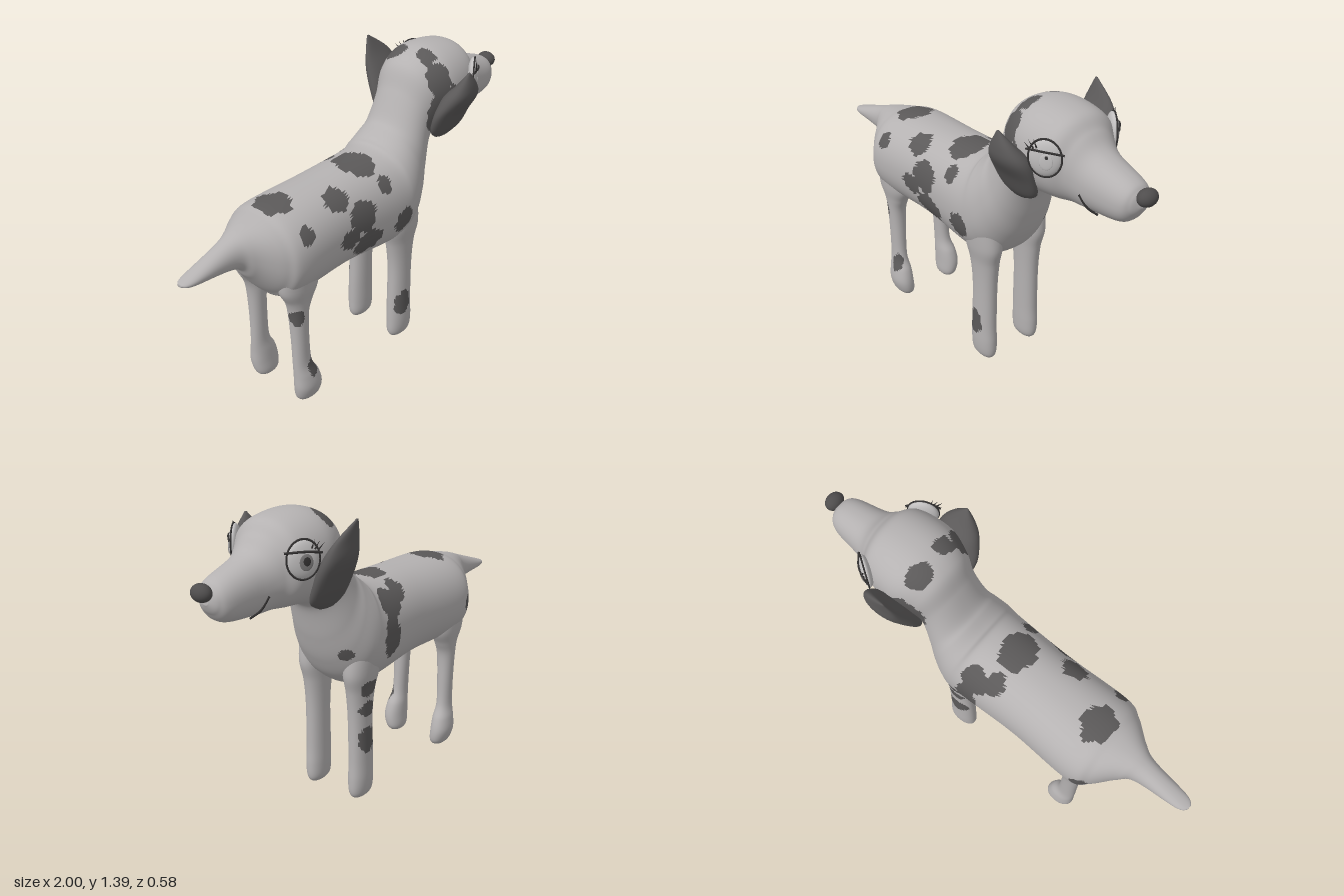
import * as THREE from 'three';

const mat = (name, color) => {
  const m = new THREE.MeshStandardMaterial({ color });
  m.name = name;
  return m;
};

// Dark patches of the coat: centre x, y, z, radius along x and z, radius along y
const TRUNK_SPOTS = [
  [-.485, .875, .18, .038, .04], [-.27, .935, .14, .062, .045], [-.165, .83, .2, .08, .075],
  [-.25, .76, .21, .06, .045], [-.13, .69, .2, .085, .065], [.005, .905, .16, .038, .042],
  [.1, .71, .2, .06, .06], [-.04, .98, .03, .08, .06], [-.5, .97, 0, .075, .07],
  [.04, .91, -.18, .065, .075], [-.05, .93, -.13, .045, .07], [.06, .77, -.21, .055, .1],
  [-.56, .75, -.19, .04, .045], [.29, .735, -.135, .03, .032],
];
const HEAD_SPOTS = [
  [.38, 1.28, .16, .055, .09], [.39, 1.36, .07, .04, .05], [.38, 1.35, -.09, .05, .07],
  [.42, 1.12, .18, .11, .12], [.42, 1.12, -.18, .11, .12],
];
const LEG_SPOTS = [
  [.16, .205, .17, .05, .065], [-.53, .48, .15, .033, .045], [-.465, .19, .165, .03, .05],
  [.18, .55, -.2, .06, .04], [.18, .45, -.2, .06, .04], [.18, .3, -.18, .06, .06],
];

function inSpot(spots, x, y, z) {
  const wobble = 1 + .13 * Math.sin(x * 75 + y * 40) * Math.cos(y * 62 - z * 45);
  return spots.some(([a, b, c, r, h]) =>
    Math.hypot((x - a) / r, (y - b) / h, (z - c) / (1.25 * r)) < wobble);
}

// Smooth interpolation between rows of numbers
function sample(rows, t) {
  const f = t * (rows.length - 1), i = Math.min(Math.floor(f), rows.length - 2), u = f - i;
  const row = k => rows[Math.max(0, Math.min(rows.length - 1, k))];
  return row(i).map((b, k) => {
    const a = row(i - 1)[k], c = row(i + 1)[k], d = row(i + 2)[k];
    return b + .5 * u * (c - a + u * (2 * a - 5 * b + 4 * c - d + u * (3 * (b - c) + d - a)));
  });
}

// Skin over sections [lowX, lowY, highX, highY, halfWidth, centreZ]; group 1 holds the spots
function loft(rows, steps, sides, spots) {
  const pos = [], tris = [];
  const s = v => Math.sign(v) * Math.abs(v) ** .92;
  for (let i = 0; i <= steps; i++) {
    const [bx, by, tx, ty, w, cz = 0] = sample(rows, i / steps);
    for (let j = 0; j < sides; j++) {
      const a = j / sides * Math.PI * 2, c = s(Math.cos(a)), d = s(Math.sin(a));
      pos.push((bx + tx) / 2 + (tx - bx) / 2 * c, (by + ty) / 2 + (ty - by) / 2 * c, cz + w * d);
    }
  }
  for (const [bx, by, tx, ty, , cz = 0] of [rows[0], rows[rows.length - 1]]) {
    pos.push((bx + tx) / 2, (by + ty) / 2, cz);
  }
  const first = (steps + 1) * sides, end = steps * sides;
  for (let j = 0; j < sides; j++) {
    const k = (j + 1) % sides;
    for (let i = 0; i < steps; i++) {
      const a = i * sides + j, b = i * sides + k;
      tris.push([a, b, a + sides], [b, b + sides, a + sides]);
    }
    tris.push([first, k, j], [first + 1, end + j, end + k]);
  }
  // Turn the faces outwards
  const P = i => new THREE.Vector3(pos[3 * i], pos[3 * i + 1], pos[3 * i + 2]);
  const volume = tris.reduce((v, t) => v + P(t[0]).dot(P(t[1]).cross(P(t[2]))), 0);
  const lists = [[], []];
  for (const [a, b, c] of tris) {
    const m = P(a).add(P(b)).add(P(c)).divideScalar(3);
    lists[inSpot(spots, m.x, m.y, m.z) ? 1 : 0].push(a, ...(volume < 0 ? [c, b] : [b, c]));
  }
  const g = new THREE.BufferGeometry();
  g.setAttribute('position', new THREE.Float32BufferAttribute(pos, 3));
  g.setIndex([...lists[0], ...lists[1]]);
  g.addGroup(0, lists[0].length, 0);
  g.addGroup(lists[0].length, lists[1].length, 1);
  g.computeVertexNormals();
  return g;
}

// Upright sections [y, centreX, radiusX, centreZ, radiusZ] for legs and ears
const upright = (rows, side) =>
  rows.map(([y, cx, rx, cz, rz]) => [cx - rx, y, cx + rx, y, rz, cz * side]);

const curve = points => new THREE.CatmullRomCurve3(points.map(p => new THREE.Vector3(...p)));

export function createModel() {
  const model = new THREE.Group();
  model.name = 'spottedDog';
  const coat = mat('coat', 0xb5b2b2), dark = mat('spot', 0x5b5959), noseMat = mat('nose', 0x4f4d4d);
  const eyeMat = mat('eyeball', 0xc2c0c0), line = mat('line', 0x343232), iris = mat('iris', 0x7c7a7a);
  const add = (name, geo, material, parent = model) => {
    const m = new THREE.Mesh(geo, material);
    m.name = name;
    parent.add(m);
    return m;
  };

  // Tail, trunk, neck and head in one skin
  const trunk = [
    [-1, .803, -1, .815, .012], [-.95, .79, -.96, .83, .038], [-.74, .765, -.78, .895, .06],
    [-.68, .7, -.7, .925, .1], [-.6, .6, -.6, .95, .18], [-.52, .555, -.5, .97, .218],
    [-.2, .555, -.2, .985, .207], [.12, .53, .06, 1, .215], [.24, .58, .12, 1.03, .212],
    [.31, .68, .165, 1.07, .19], [.355, .8, .2, 1.11, .165], [.395, .94, .255, 1.225, .15],
    [.44, .985, .31, 1.335, .17], [.51, 1.005, .43, 1.39, .197], [.6, 1.015, .6, 1.38, .183],
    [.66, 1.02, .67, 1.325, .138], [.74, 1.02, .74, 1.265, .11], [.88, 1.035, .89, 1.215, .085],
    [.93, 1.08, .93, 1.185, .055], [.95, 1.12, .945, 1.15, .015],
  ];
  add('body', loft(trunk, 240, 112, [...TRUNK_SPOTS, ...HEAD_SPOTS]), [coat, dark]);

  const frontLeg = [
    [.72, .165, .1, .125, .07], [.62, .175, .1, .125, .063], [.53, .178, .078, .122, .052],
    [.4, .18, .065, .122, .046], [.2, .178, .067, .124, .045], [.1, .18, .07, .125, .045],
    [.04, .18, .068, .124, .04], [.012, .18, .055, .124, .028], [0, .18, .03, .124, .012],
  ];
  const hindLeg = [
    [.72, -.5, .1, .13, .065], [.62, -.495, .1, .13, .06], [.55, -.495, .066, .13, .048],
    [.48, -.5, .046, .13, .042], [.35, -.497, .042, .132, .036], [.22, -.492, .046, .135, .034],
    [.15, -.475, .062, .14, .044], [.09, -.467, .07, .142, .048], [.04, -.463, .065, .135, .042],
    [.015, -.463, .05, .13, .03], [.004, -.463, .025, .13, .012],
  ];
  const leftEar = [
    [1, .43, .05, .145, .02], [1.04, .44, .1, .16, .035], [1.12, .44, .115, .19, .045],
    [1.2, .45, .1, .225, .058], [1.26, .45, .06, .255, .035], [1.325, .44, .005, .274, .004],
  ];
  const rightEar = [
    [1, .43, .05, .145, .02], [1.04, .44, .1, .16, .035], [1.12, .45, .11, .195, .045],
    [1.22, .455, .1, .238, .045], [1.3, .44, .07, .262, .022], [1.375, .4, .006, .28, .004],
  ];

  for (const side of [1, -1]) {
    const tag = side > 0 ? 'Near' : 'Far';
    add('frontLeg' + tag, loft(upright(frontLeg, side), 80, 40, LEG_SPOTS), [coat, dark]);
    add('hindLeg' + tag, loft(upright(hindLeg, side), 80, 40, LEG_SPOTS), [coat, dark]);
    add('ear' + tag, loft(upright(side > 0 ? leftEar : rightEar, side), 30, 28, []), [dark, dark]);

    // Eye: shallow oval with outline, iris, lid line and lashes
    const eye = new THREE.Group();
    eye.name = 'eye' + tag;
    eye.position.set(.603, 1.245, .177 * side);
    eye.rotation.y = side > 0 ? .58 : Math.PI - .58;
    model.add(eye);
    add('eyeball', new THREE.SphereGeometry(1, 32, 20), eyeMat, eye).scale.set(.066, .08, .024);
    const rim = add('eyeRim', new THREE.TorusGeometry(1, .06, 8, 40), line, eye);
    rim.scale.set(.066, .08, .06);
    rim.position.z = .006;
    const flat = (name, r, x, y, z, material) => {
      const d = add(name, new THREE.SphereGeometry(r, 20, 10), material, eye);
      d.scale.set(.8, 1, .1);
      d.position.set(x, y, z);
    };
    flat('iris', .034, .008, -.008, .023, side > 0 ? eyeMat : iris);
    flat('pupil', side > 0 ? .008 : .018, .01, side > 0 ? .012 : -.004, .026, line);
    const lid = curve([[-.075, .03, .008], [0, .035, .025], [.075, .022, .008]]);
    add('eyelid', new THREE.TubeGeometry(lid, 16, .005, 6), line, eye);
    for (let i = 0; i < 3; i++) {
      const lash = add('lash', new THREE.ConeGeometry(.004, .04, 5), line, eye);
      lash.position.set(side * (-.07 + i * .016), .05 + i * .006, .016);
      lash.rotation.z = side * (.75 - i * .2);
    }

    // Corner of the mouth
    const smile = curve([[.725, 1.117, .113 * side], [.75, 1.06, .088 * side], [.775, 1.028, .055 * side]]);
    add('mouth' + tag, new THREE.TubeGeometry(smile, 16, .005, 6), line);
  }

  const nose = add('nose', new THREE.SphereGeometry(1, 28, 18), noseMat);
  nose.scale.set(.036, .036, .046);
  nose.position.set(.964, 1.172, 0);
  return model;
}
